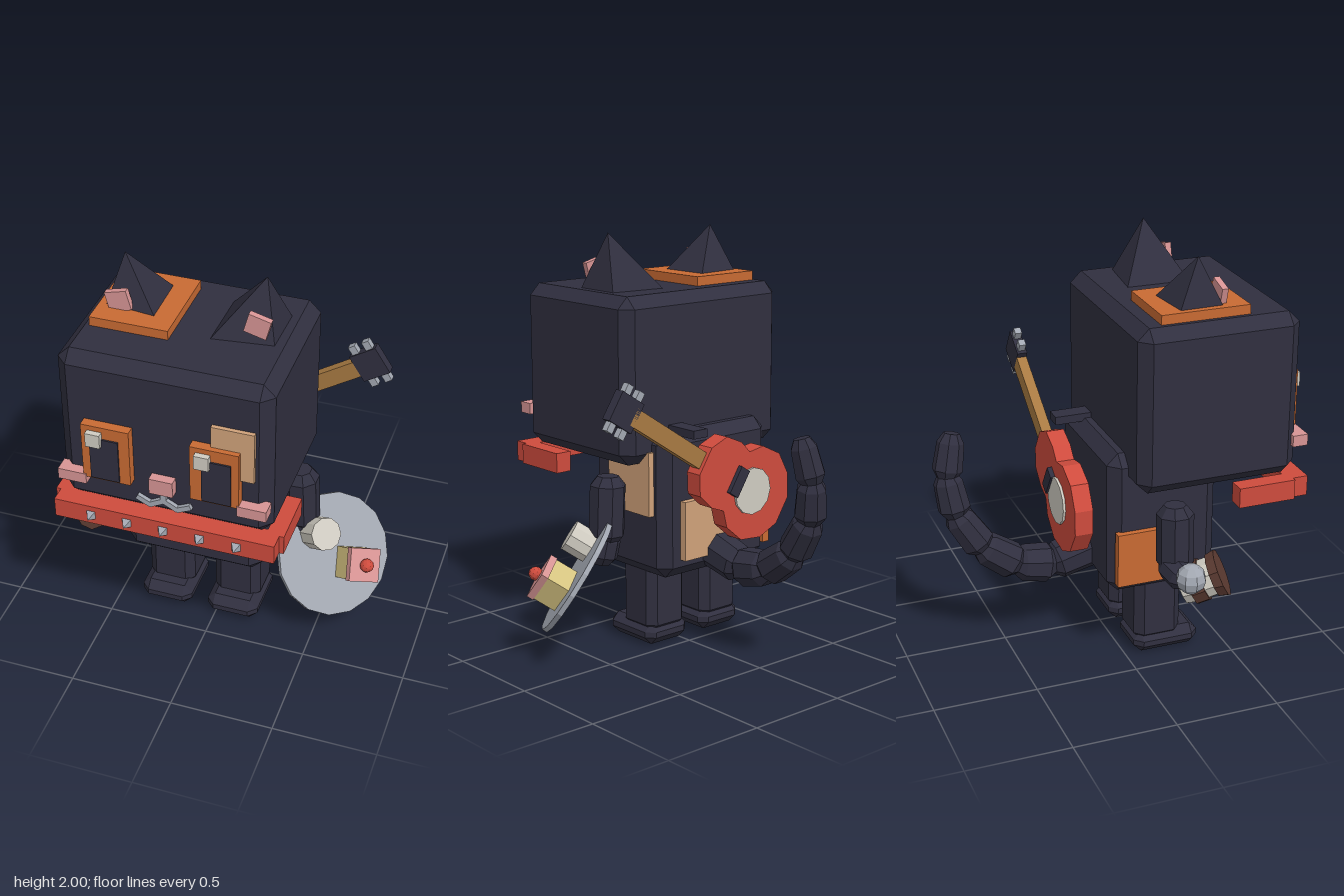
import * as THREE from 'three';
import { ConvexGeometry } from 'three/addons/geometries/ConvexGeometry.js';

const V = (x, y, z) => new THREE.Vector3(x, y, z);
const CX = -0.087; // mirror plane of the character

export function createModel() {
  const paint = (name, color) => {
    const m = new THREE.MeshStandardMaterial({ color, flatShading: true });
    m.name = name;
    return m;
  };
  const navy = paint('navy fur', 0x302f3f), orange = paint('orange', 0xc86a33);
  const red = paint('red', 0xce4b3d), pink = paint('pink', 0xd79494);
  const tan = paint('tan', 0xd0a27a), gray = paint('steel gray', 0xa2a7b1);
  const cream = paint('cream', 0xd0ccc2), wood = paint('neck wood', 0xa87a42);
  const brown = paint('dark brown', 0x5c3b32), yellow = paint('sponge yellow', 0xd6c481);

  const model = new THREE.Group();
  const add = (name, geo, mat, pos = [0, 0, 0], parent = model) => {
    const m = new THREE.Mesh(geo, mat);
    m.name = name;
    m.position.set(...pos);
    parent.add(m);
    return m;
  };
  // Box given by its limits
  const box = (name, mat, x0, x1, y0, y1, z0, z1, parent = model) =>
    add(name, new THREE.BoxGeometry(x1 - x0, y1 - y0, z1 - z0), mat,
      [(x0 + x1) / 2, (y0 + y1) / 2, (z0 + z1) / 2], parent);
  // Box with all edges cut off by b
  const chamferBox = (name, mat, x0, x1, y0, y1, z0, z1, b) => {
    const h = [(x1 - x0) / 2, (y1 - y0) / 2, (z1 - z0) / 2], pts = [];
    for (const sx of [-1, 1]) for (const sy of [-1, 1]) for (const sz of [-1, 1])
      for (let k = 0; k < 3; k++) {
        const [a, c, d] = h.map((v, i) => (i === k ? v : v - b));
        pts.push(V(sx * a, sy * c, sz * d));
      }
    return add(name, new ConvexGeometry(pts), mat, [(x0 + x1) / 2, (y0 + y1) / 2, (z0 + z1) / 2]);
  };
  // Eight-sided limb segment with cut ends, from a to b
  const segment = (name, a, b, r0, r1 = r0) => {
    const len = a.distanceTo(b), c = Math.min(0.045, len / 4);
    const profile = [[0, 0], [r0 * 0.6, 0], [r0, c], [r1, len - c], [r1 * 0.6, len], [0, len]]
      .map(p => new THREE.Vector2(...p));
    const m = add(name, new THREE.LatheGeometry(profile, 8, Math.PI / 8), navy, a.toArray());
    m.quaternion.setFromUnitVectors(V(0, 1, 0), b.clone().sub(a).normalize());
    return m;
  };

  // Head and body
  chamferBox('head', navy, -0.58, 0.405, 0.94, 1.735, -0.02, 0.765, 0.055);
  chamferBox('body', navy, -0.43, 0.255, 0.38, 1.09, -0.107, 0.433, 0.055);
  box('leftBodyPatch', tan, 0.24, 0.285, 0.69, 1.0, -0.035, 0.265);
  box('backPatch', tan, -0.155, 0.15, 0.47, 0.76, -0.14, -0.1);
  box('rightBodyPatch', orange, -0.46, -0.42, 0.44, 0.71, -0.08, 0.2);
  box('earPatch', orange, -0.505, -0.14, 1.72, 1.78, 0.1, 0.53);
  box('eyePatch', tan, 0.14, 0.335, 1.257, 1.517, 0.75, 0.785);

  // Mirrored parts
  for (const s of [1, -1]) {
    const side = s > 0 ? 'left' : 'right';
    const mx = x => CX + s * (x - CX);
    const mbox = (name, mat, x0, x1, ...rest) =>
      box(side + name, mat, Math.min(mx(x0), mx(x1)), Math.max(mx(x0), mx(x1)), ...rest);
    add(side + 'Ear', new ConvexGeometry([V(mx(0.03), 1.73, 0.15), V(mx(0.315), 1.73, 0.18),
      V(mx(0.31), 1.73, 0.43), V(mx(0.025), 1.73, 0.465), V(mx(0.238), 2, 0.31)]), navy);
    const inner = add(side + 'InnerEar', new THREE.BoxGeometry(0.105, 0.095, 0.03), pink, [mx(0.232), 1.82, 0.42]);
    inner.rotation.z = -0.26 * s;
    chamferBox(side + 'Leg', navy, mx(0.085) - 0.117, mx(0.085) + 0.117, 0.06, 0.46, 0.05, 0.285, 0.04);
    chamferBox(side + 'Foot', navy, mx(0.085) - 0.13, mx(0.085) + 0.13, 0, 0.108, 0.045, 0.375, 0.04);
    mbox('Cheek', pink, 0.265, 0.4, 1.08, 1.135, 0.74, 0.815);
    mbox('CollarSide', red, 0.375, 0.458, 0.842, 0.94, 0.45, 0.73);
    segment(side + 'UpperArm', V(mx(0.37), 0.87, 0.165), V(mx(0.385), 0.54, 0.165), 0.088);
  }

  // Eyes
  for (const [side, x, px, hx] of [['left', 0.162, 0.172, 0.112], ['right', -0.34, -0.345, -0.388]]) {
    box(side + 'Eye', orange, x - 0.112, x + 0.112, 1.12, 1.41, 0.75, 0.81);
    box(side + 'Pupil', navy, px - 0.067, px + 0.067, 1.13, 1.35, 0.8, 0.818);
    box(side + 'EyeShine', cream, hx - 0.034, hx + 0.034, 1.315, 1.385, 0.8, 0.838);
  }

  // Nose and mouth
  box('nose', pink, -0.143, -0.032, 1.1, 1.18, 0.74, 0.81);
  box('mouthStem', gray, CX - 0.014, CX + 0.014, 1.03, 1.1, 0.755, 0.785);
  for (const s of [1, -1]) {
    for (const [dx, y, tilt] of [[0.033, 1.028, -0.5], [0.093, 1.025, 0.45]]) {
      add('mouthCurve', new THREE.BoxGeometry(0.075, 0.026, 0.03), gray, [CX + s * dx, y, 0.77]).rotation.z = s * tilt;
    }
  }

  // Studded collar
  box('collarFront', red, -0.61, 0.436, 0.842, 0.94, 0.7, 0.805);
  for (let i = -2; i <= 2; i++) {
    const stud = add('collarStud', new THREE.ConeGeometry(0.035, 0.05, 4, 1, false, Math.PI / 4), gray,
      [CX + i * 0.173, 0.892, 0.822]);
    stud.rotation.x = Math.PI / 2;
  }

  // Hands
  segment('leftHand', V(0.38, 0.6, 0.165), V(0.41, 0.44, 0.18), 0.075);
  segment('rightForearm', V(-0.53, 0.58, 0.13), V(-0.69, 0.54, 0.17), 0.07);

  // Tail
  const tail = [[-0.085, 0.5, -0.03], [-0.09, 0.43, -0.28], [-0.09, 0.46, -0.46], [-0.085, 0.58, -0.63],
    [-0.07, 0.76, -0.745], [-0.045, 0.95, -0.775], [-0.015, 1.15, -0.735]].map(p => V(...p));
  for (let i = 0; i < tail.length - 1; i++) {
    const d = tail[i + 1].clone().sub(tail[i]).normalize().multiplyScalar(0.015);
    const r = 0.102 - i * 0.006;
    segment('tailSegment', tail[i].clone().sub(d), tail[i + 1].clone().add(i < 5 ? d : V(0, 0, 0)), r, r - 0.008);
  }

  // Banded shaker with a steel ball, held in the right hand
  const shaker = new THREE.Group();
  shaker.name = 'shaker';
  shaker.position.set(-0.605, 0.49, 0.285);
  shaker.quaternion.setFromUnitVectors(V(0, 1, 0), V(-0.36, 0.4, 0.84).normalize());
  model.add(shaker);
  const bands = [[brown, 0.075, 0.045, 0.115, 0.105], [cream, 0.03, 0.045, 0.095, 0.095],
    [brown, -0.025, 0.065, 0.105, 0.105], [cream, -0.08, 0.045, 0.095, 0.085]];
  for (const [mat, y, h, rt, rb] of bands)
    add('shakerBand', new THREE.CylinderGeometry(rt, rb, h, 10), mat, [0, y, 0], shaker);
  add('steelBall', new THREE.SphereGeometry(0.072, 8, 6), gray, [-0.728, 0.578, 0.172]);

  // Tilted serving plate, local +z is its upper side
  const plate = new THREE.Group();
  plate.name = 'servingPlate';
  plate.position.set(0.55, 0.405, 0.185);
  plate.lookAt(0.55 + 0.63, 0.405 + 0.53, 0.185 + 0.56);
  model.add(plate);
  const disc = (name, mat, r, h, n, pos, parent) => {
    const m = add(name, new THREE.CylinderGeometry(r, r, h, n), mat, pos, parent);
    m.rotation.x = Math.PI / 2;
    return m;
  };
  disc('plateDisc', gray, 0.3, 0.025, 16, [0, 0, 0], plate);
  disc('cup', cream, 0.08, 0.12, 10, [-0.07, 0.134, 0.07], plate);
  const cake = new THREE.Group();
  cake.name = 'cake';
  cake.position.set(0.07, -0.07, 0);
  cake.rotation.z = -0.39;
  plate.add(cake);
  box('cakeBase', yellow, -0.075, 0.075, -0.075, 0.075, 0, 0.125, cake);
  box('cakeIcing', pink, -0.08, 0.08, -0.08, 0.08, 0.125, 0.16, cake);
  add('cherry', new THREE.IcosahedronGeometry(0.034, 1), red, [0, 0, 0.178], cake);

  // Guitar on the back, local +x runs along the neck
  const guitar = new THREE.Group();
  guitar.name = 'guitar';
  guitar.position.set(-0.165, 0.785, 0);
  guitar.rotation.z = 0.575;
  model.add(guitar);
  const half = [[-0.235, 0.07], [-0.17, 0.17], [-0.06, 0.23], [0.06, 0.215], [0.125, 0.155],
    [0.2, 0.172], [0.3, 0.155], [0.36, 0.07]];
  const outline = [...half, ...half.map(([x, y]) => [x, -y]).reverse()].map(p => new THREE.Vector2(...p));
  add('guitarBody', new THREE.ExtrudeGeometry(new THREE.Shape(outline), { depth: 0.088, bevelEnabled: false }),
    red, [0, 0, -0.27], guitar);
  disc('soundHole', cream, 0.115, 0.02, 12, [0.01, 0, -0.272], guitar);
  box('guitarBridge', navy, 0.095, 0.155, -0.07, 0.07, -0.293, -0.26, guitar);
  box('guitarNeck', wood, 0.3, 0.85, -0.042, 0.042, -0.25, -0.2, guitar);
  box('guitarHead', navy, 0.825, 0.97, -0.073, 0.073, -0.25, -0.2, guitar);
  for (const x of [0.86, 0.935]) for (const s of [-1, 1])
    box('tuningPeg', gray, x - 0.018, x + 0.018, s * 0.092 - 0.025, s * 0.092 + 0.025, -0.242, -0.208, guitar);
  box('guitarStrap', navy, 0.065, 0.15, 1.075, 1.115, -0.2, 0.02);

  return model;
}
